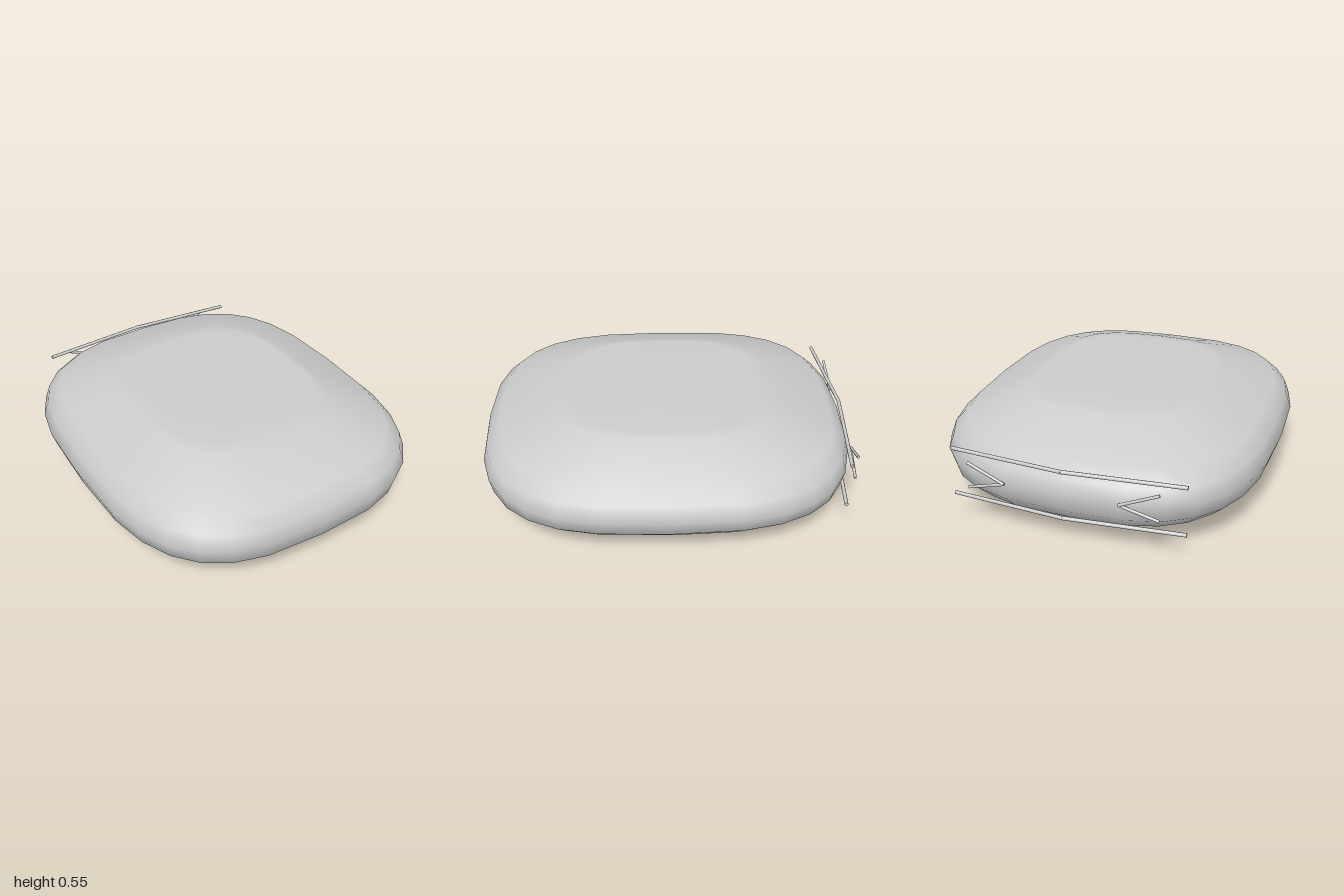
import * as THREE from 'three';

const material = new THREE.MeshStandardMaterial({ color: 0xcccccc });

// Pillow-like body: stacked superellipse rings [y, half width, half depth]
function createBody() {
  const rings = [
    [0, 0.5, 0.56], [0.12, 0.77, 0.92], [0.19, 0.84, 0.985], [0.28, 0.87, 1],
    [0.36, 0.84, 0.98], [0.43, 0.77, 0.91], [0.53, 0.51, 0.6], [0.545, 0.46, 0.5],
  ];
  const sides = 28;
  const positions = [];
  const indices = [];
  const soften = (v) => Math.sign(v) * Math.abs(v) ** (2 / 3);
  for (const [y, halfWidth, halfDepth] of rings) {
    for (let j = 0; j < sides; j++) {
      const t = (j / sides) * Math.PI * 2;
      const z = halfDepth * soften(Math.sin(t));
      positions.push(halfWidth * soften(Math.cos(t)), y, z < 0 ? z * 0.985 : z);
    }
  }
  const bottom = rings.length * sides;
  const top = bottom + 1;
  positions.push(0, 0, 0, 0, 0.545, 0);
  for (let j = 0; j < sides; j++) {
    const next = (j + 1) % sides;
    for (let i = 0; i < rings.length - 1; i++) {
      const a = i * sides + j, b = i * sides + next;
      indices.push(a, a + sides, b + sides, a, b + sides, b);
    }
    const last = (rings.length - 1) * sides;
    indices.push(bottom, j, next, top, last + next, last + j);
  }
  const geometry = new THREE.BufferGeometry();
  geometry.setAttribute('position', new THREE.Float32BufferAttribute(positions, 3));
  geometry.setIndex(indices);
  geometry.computeVertexNormals();
  const body = new THREE.Mesh(geometry, material);
  body.name = 'body';
  return body;
}

// Thin bent rod through a list of points
function createRod(name, points, radius) {
  const group = new THREE.Group();
  group.name = name;
  const corners = points.map((p) => new THREE.Vector3(...p));
  for (let i = 0; i < corners.length - 1; i++) {
    const direction = corners[i + 1].clone().sub(corners[i]);
    const rod = new THREE.Mesh(
      new THREE.CylinderGeometry(radius, radius, direction.length(), 8), material);
    rod.name = name + 'Segment';
    rod.position.copy(corners[i]).addScaledVector(direction, 0.5);
    rod.quaternion.setFromUnitVectors(new THREE.Vector3(0, 1, 0), direction.normalize());
    group.add(rod);
  }
  return group;
}

export function createModel() {
  const model = new THREE.Group();
  model.name = 'pillow';
  model.add(createBody());

  // Two long bent strips across the back
  for (const [name, y] of [['upperStrip', 0.4], ['lowerStrip', 0.15]]) {
    model.add(createRod(name, [[-0.6, y, -0.92], [0, y, -0.97], [0.6, y, -0.92]], 0.01));
  }

  // Mirrored V-shaped marks with their points towards the middle
  for (const [name, s] of [['leftMark', 1], ['rightMark', -1]]) {
    model.add(createRod(name,
      [[0.485 * s, 0.37, -0.98], [0.29 * s, 0.29, -0.99], [0.485 * s, 0.235, -0.98]], 0.008));
  }
  return model;
}
